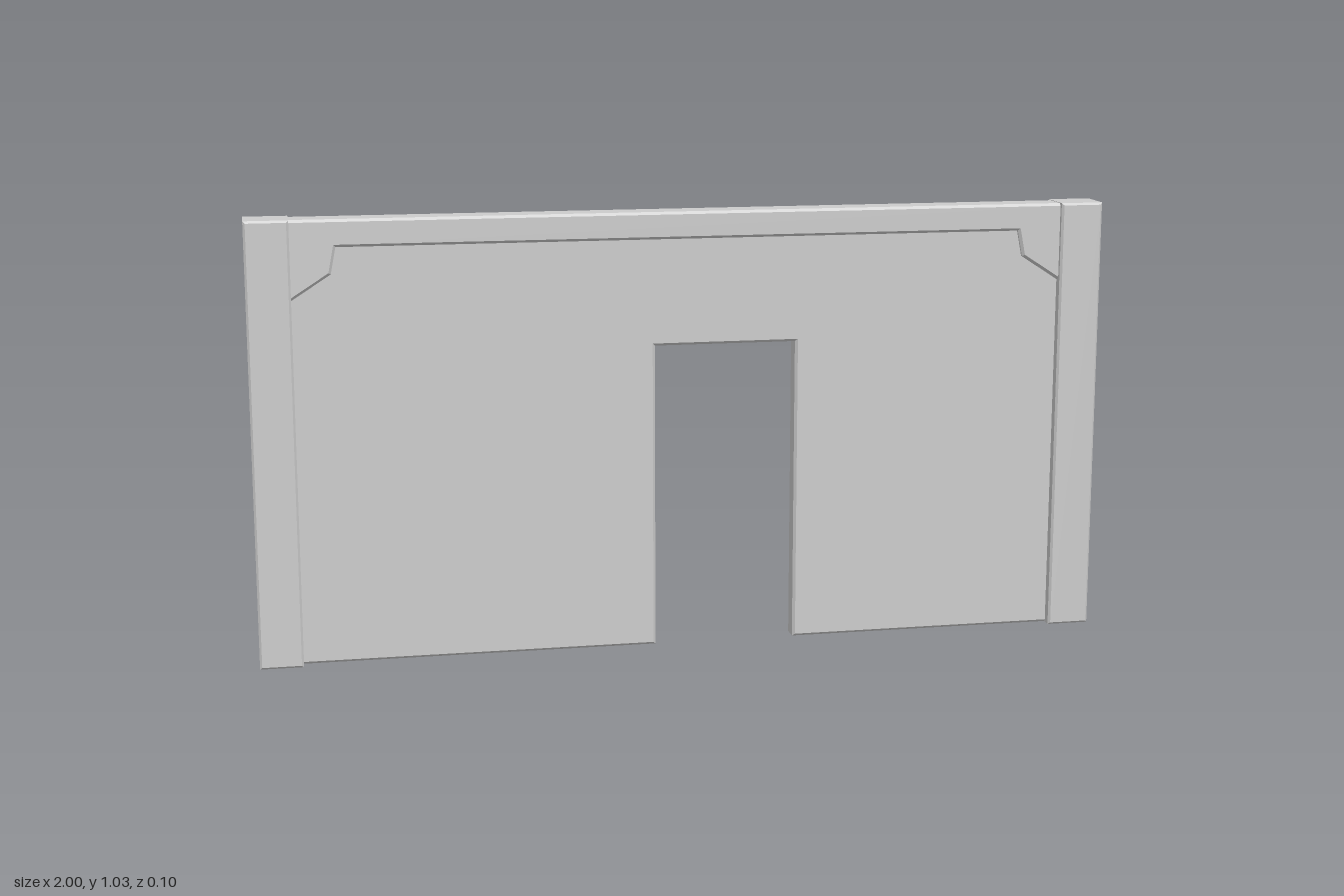
import * as THREE from 'three';

const material = new THREE.MeshStandardMaterial({ color: 0xcccccc, flatShading: true });

// Bevelled slab: outline in the xy plane, centred on z = 0
function slab(name, points, halfDepth, bevel) {
  const shape = new THREE.Shape(points.map(([x, y]) => new THREE.Vector2(x, y)));
  const geometry = new THREE.ExtrudeGeometry(shape, {
    depth: 2 * (halfDepth - bevel),
    bevelEnabled: true,
    bevelThickness: bevel,
    bevelSize: bevel,
    bevelOffset: -bevel,
    bevelSegments: 1,
  });
  geometry.translate(0, 0, bevel - halfDepth);
  const mesh = new THREE.Mesh(geometry, material);
  mesh.name = name;
  return mesh;
}

export function createModel() {
  const group = new THREE.Group();
  group.name = 'wallWithDoorway';
  const height = 1.033;

  // Thin wall panel with an off-centre doorway
  group.add(slab('wallPanel', [
    [-0.93, 0], [-0.072, 0], [-0.072, 0.72], [0.262, 0.72],
    [0.262, 0], [0.93, 0], [0.93, 1.0], [-0.93, 1.0],
  ], 0.025, 0.006));

  // Top beam with angled corner brackets
  const lowerEdge = [[0.93, 0.831], [0.9, 0.85], [0.81, 0.908], [0.798, 0.969]];
  group.add(slab('topBeam', [
    ...lowerEdge.map(([x, y]) => [-x, y]),
    ...[...lowerEdge].reverse(),
    [0.93, height - 0.001], [-0.93, height - 0.001],
  ], 0.037, 0.006));

  // End posts
  for (const [name, side] of [['leftPost', 1], ['rightPost', -1]]) {
    const post = slab(name, [
      [-0.05, 0], [0.05, 0], [0.05, height], [-0.05, height],
    ], 0.05, 0.005);
    post.position.x = side * 0.95;
    group.add(post);
  }
  return group;
}
